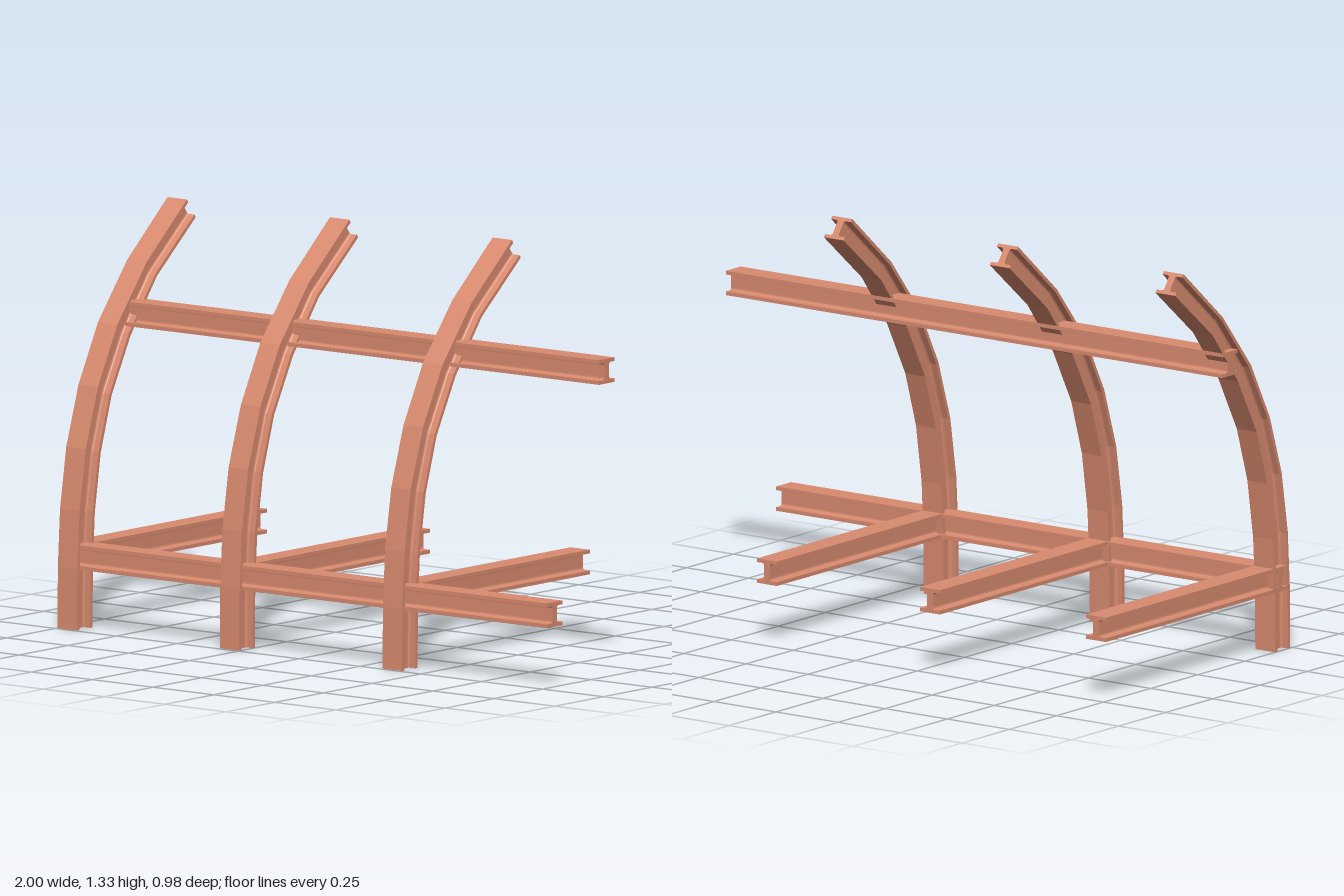
import * as THREE from 'three';

const W = 0.08, H = W / 2;
const material = new THREE.MeshStandardMaterial({ color: 0xd98b6f, flatShading: true });

// I-section with filleted web, centred on the origin
function iSection(flange = 0.012, web = 0.024, r = 0.009) {
  const w = web / 2, f = H - flange, s = new THREE.Shape();
  s.moveTo(-H, -H);
  s.lineTo(H, -H);
  s.lineTo(H, -f);
  s.lineTo(w + r, -f);
  s.quadraticCurveTo(w, -f, w, -f + r);
  s.lineTo(w, f - r);
  s.quadraticCurveTo(w, f, w + r, f);
  s.lineTo(H, f);
  s.lineTo(H, H);
  s.lineTo(-H, H);
  s.lineTo(-H, f);
  s.lineTo(-w - r, f);
  s.quadraticCurveTo(-w, f, -w, f - r);
  s.lineTo(-w, -f + r);
  s.quadraticCurveTo(-w, -f, -w - r, -f);
  s.lineTo(-H, -f);
  s.closePath();
  return s;
}

function extrude(depth, steps = 1) {
  return new THREE.ExtrudeGeometry(iSection(), { depth, steps, bevelEnabled: false, curveSegments: 4 });
}

// Rib stations: outer z, outer y, inner z, inner y
const STATIONS = [
  [0.49, 0, 0.41, 0],
  [0.488, 0.2, 0.408, 0.2],
  [0.477, 0.385, 0.398, 0.372],
  [0.445, 0.583, 0.368, 0.562],
  [0.382, 0.778, 0.312, 0.742],
  [0.282, 0.968, 0.214, 0.925],
  [0.132, 1.152, 0.08, 1.1],
  [-0.075, 1.33, -0.12, 1.267],
];

// Straight I-beam bent so that each extrusion step lands on a station
function ribGeometry() {
  const n = STATIONS.length - 1;
  const g = extrude(n, n);
  const p = g.attributes.position;
  for (let i = 0; i < p.count; i++) {
    const [oz, oy, iz, iy] = STATIONS[Math.round(p.getZ(i))];
    const t = (p.getY(i) + H) / W;
    p.setXYZ(i, p.getX(i), oy + (iy - oy) * t, oz + (iz - oz) * t);
  }
  g.computeVertexNormals();
  return g;
}

export function createModel() {
  const group = new THREE.Group();
  const add = (name, geometry, x, y, z) => {
    const m = new THREE.Mesh(geometry, material);
    m.name = name;
    m.position.set(x, y, z);
    group.add(m);
  };

  // Curved ribs, each with a floor beam running back from it
  const rib = ribGeometry();
  const names = ['right', 'middle', 'left'];
  [-0.96, -0.293, 0.375].forEach((x, i) => {
    add(names[i] + 'CurvedRib', rib, x, 0, 0);
    const back = [-0.487, -0.49, -0.475][i];
    add(names[i] + 'FloorBeam', extrude(0.45 - back), x, 0.235, back);
  });

  // Long cross beams tying the ribs together
  const cross = extrude(2).rotateY(Math.PI / 2);
  add('lowerCrossBeam', cross, -1, 0.235, 0.437);
  add('upperCrossBeam', cross, -1, 0.992, 0.17);
  return group;
}
